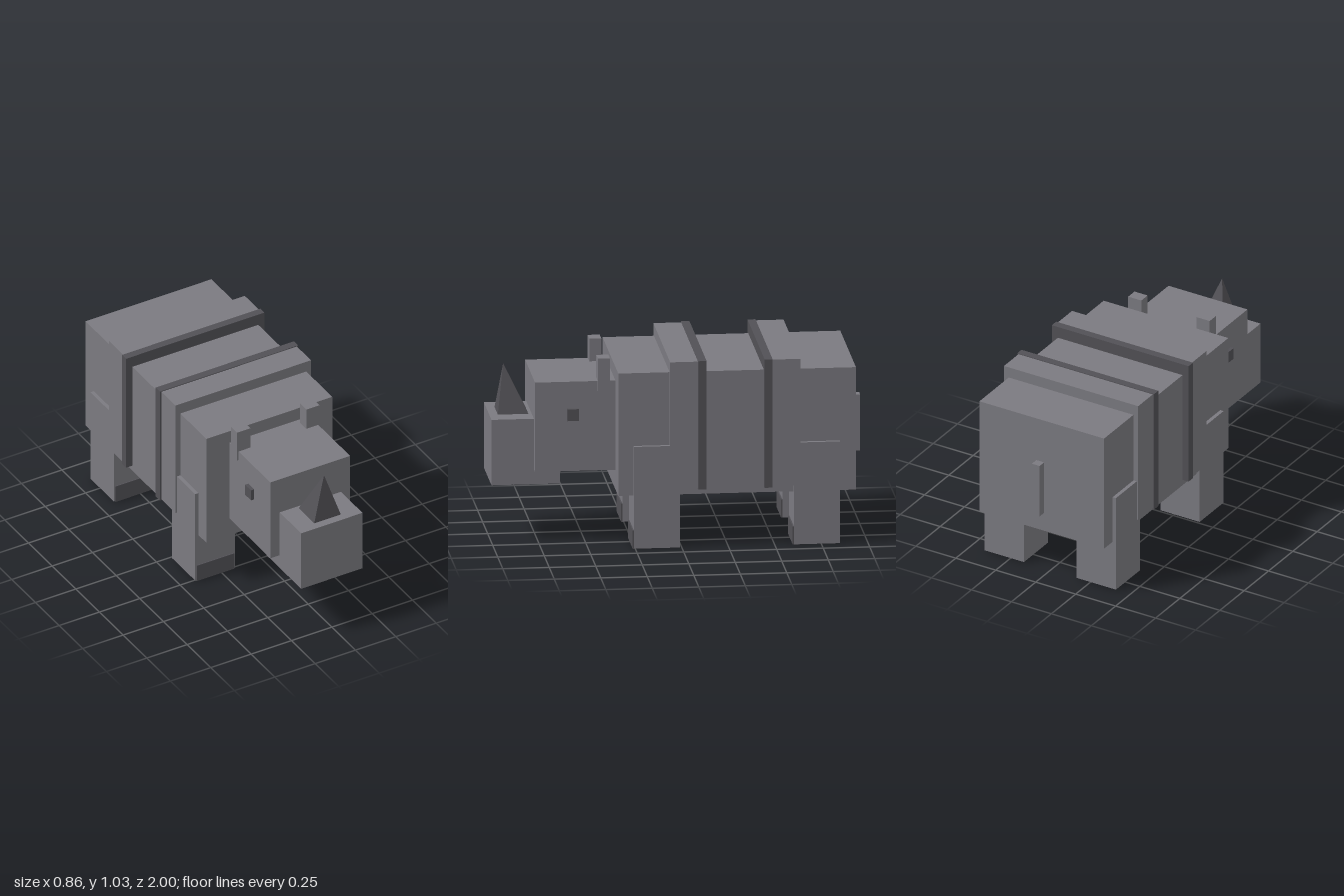
import * as THREE from 'three';

export function createModel() {
  const model = new THREE.Group();
  model.name = 'blockRhino';

  const hide = new THREE.MeshStandardMaterial({ color: 0x7b7a80 });
  hide.name = 'grey hide';
  const dark = new THREE.MeshStandardMaterial({ color: 0x525156 });
  dark.name = 'dark horn';

  // Box given by its [min, max] extent on each axis
  const box = (name, material, [x0, x1], [y0, y1], [z0, z1]) => {
    const geometry = new THREE.BoxGeometry(x1 - x0, y1 - y0, z1 - z0);
    const mesh = new THREE.Mesh(geometry, material);
    mesh.position.set((x0 + x1) / 2, (y0 + y1) / 2, (z0 + z1) / 2);
    mesh.name = name;
    model.add(mesh);
  };
  // The same box on the left (+x) and right (-x)
  const pair = (name, material, [x0, x1], y, z) => {
    box(name + 'Left', material, [x0, x1], y, z);
    box(name + 'Right', material, [-x1, -x0], y, z);
  };

  // Torso, head and tail
  box('body', hide, [-0.39, 0.39], [0.29, 0.966], [-0.938, 0.34]);
  box('head', hide, [-0.247, 0.247], [0.398, 0.891], [0.3, 0.772]);
  box('snout', hide, [-0.19, 0.19], [0.316, 0.677], [0.632, 1]);
  box('tail', hide, [-0.024, 0.024], [0.41, 0.72], [-1, -0.953]);

  // Armour folds, each edged by a dark band
  box('shoulderFold', hide, [-0.42, 0.42], [0.329, 1.028], [-0.09, 0.064]);
  box('shoulderBand', dark, [-0.428, 0.428], [0.323, 1.032], [-0.131, -0.086]);
  box('hipFold', hide, [-0.42, 0.42], [0.329, 1.028], [-0.636, -0.48]);
  box('hipBand', dark, [-0.428, 0.428], [0.323, 1.032], [-0.486, -0.443]);

  // Ears and eyes
  pair('ear', hide, [0.173, 0.255], [0.835, 1.016], [0.37, 0.435]);
  pair('eye', dark, [0.235, 0.266], [0.678, 0.743], [0.538, 0.599]);

  // Legs with dark toes
  for (const [name, back] of [['front', 0.01], ['rear', -0.85]]) {
    const front = back + 0.247;
    pair(name + 'Leg', hide, [0.165, 0.411], [0.002, 0.564], [back, front]);
    pair(name + 'Toe', dark, [0.172, 0.404], [0, 0.1], [front - 0.08, front + 0.007]);
  }

  // Four-sided horn, its tip leaning forward
  const hornHeight = 0.263;
  const hornGeometry = new THREE.ConeGeometry(0.0825 * Math.SQRT2, hornHeight, 4, 1)
    .toNonIndexed()
    .rotateY(Math.PI / 4)
    .translate(0, hornHeight / 2, 0)
    .applyMatrix4(new THREE.Matrix4().set(
      1, 0, 0, 0,
      0, 1, 0, 0,
      0, 0.045 / hornHeight, 1, 0,
      0, 0, 0, 1));
  hornGeometry.computeVertexNormals();
  const horn = new THREE.Mesh(hornGeometry, dark);
  horn.name = 'horn';
  horn.position.set(0, 0.676, 0.872);
  model.add(horn);

  return model;
}
